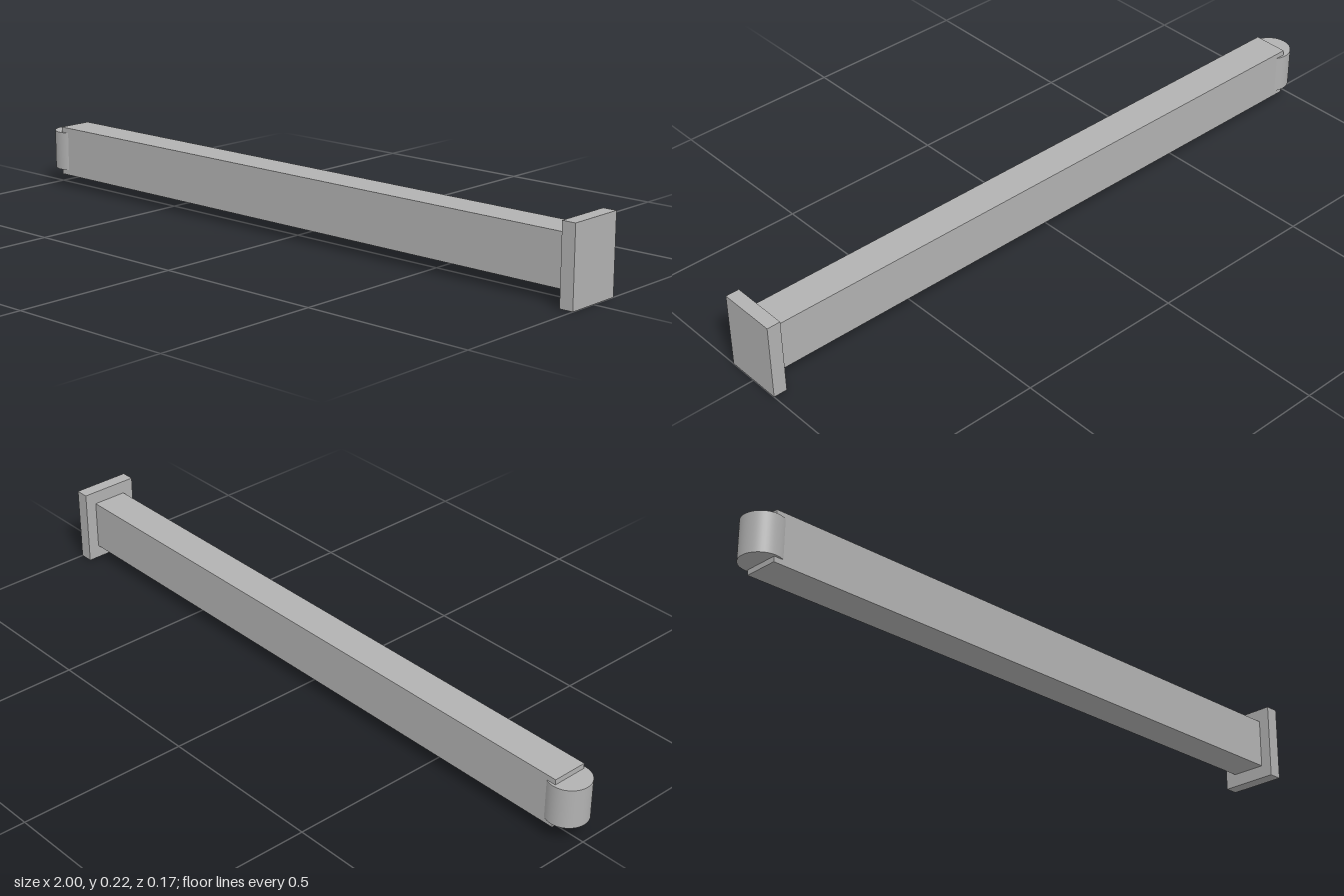
import * as THREE from 'three';

export function createModel() {
  const group = new THREE.Group();
  const grey = new THREE.MeshStandardMaterial({ color: 0xb2b2b2 });
  grey.name = 'plain grey';
  const midY = 0.1125;

  const add = (name, geometry, x) => {
    const mesh = new THREE.Mesh(geometry, grey);
    mesh.name = name;
    mesh.position.set(x, midY, 0);
    group.add(mesh);
  };

  // Long rectangular bar
  add('beam', new THREE.BoxGeometry(1.9, 0.147, 0.105), 0.01);
  // Flat mounting plate closing the left end
  add('endPlate', new THREE.BoxGeometry(0.04, 0.225, 0.174), 0.98);
  // Upright rounded pivot half sunk into the right end
  add('pivot', new THREE.CylinderGeometry(0.06, 0.06, 0.116, 48), -0.94);

  return group;
}
